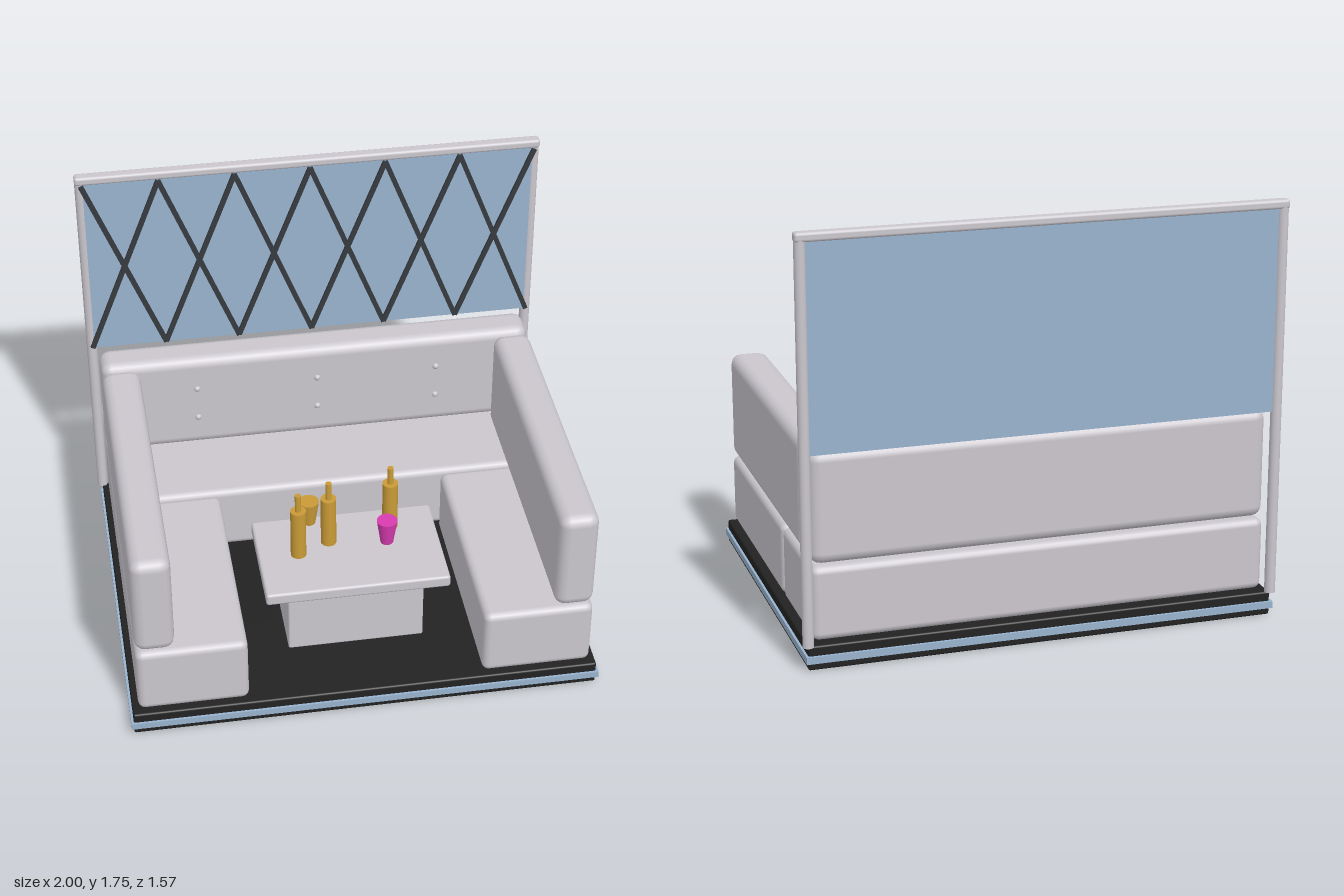
import * as THREE from 'three';
import { RoundedBoxGeometry } from 'three/addons/geometries/RoundedBoxGeometry.js';

const paint = (name, color) => {
  const m = new THREE.MeshStandardMaterial({ color });
  m.name = name;
  return m;
};

export function createModel() {
  const model = new THREE.Group();
  model.name = 'loungeBooth';

  const upholstery = paint('pale grey', 0xcac6cd);
  const floorBlack = paint('floor black', 0x222222);
  const blue = paint('blue', 0x98b3ce);
  const latticeDark = paint('lattice charcoal', 0x363b3f);
  const gold = paint('gold', 0xc99b37);
  const magenta = paint('magenta', 0xd83bb0);

  const add = (name, geometry, material, x, y, z, parent = model) => {
    const mesh = new THREE.Mesh(geometry, material);
    mesh.name = name;
    mesh.position.set(x, y, z);
    parent.add(mesh);
    return mesh;
  };

  // Box given by its min and max on each axis; radius > 0 rounds its edges
  const block = (name, material, [x0, x1], [y0, y1], [z0, z1], radius = 0, segments = 2) => {
    const size = [x1 - x0, y1 - y0, z1 - z0];
    const geometry = radius
      ? new RoundedBoxGeometry(...size, segments, radius)
      : new THREE.BoxGeometry(...size);
    return add(name, geometry, material, (x0 + x1) / 2, (y0 + y1) / 2, (z0 + z1) / 2);
  };

  // Platform with a light strip around its edge
  block('platform', floorBlack, [-0.975, 0.975], [0, 0.1], [-0.765, 0.777], 0.008);
  block('platformStrip', blue, [-0.985, 0.985], [0.031, 0.06], [-0.777, 0.787]);

  // Rear bench
  block('backSeat', upholstery, [-0.95, 0.95], [0.105, 0.41], [-0.737, -0.227], 0.03);
  block('backCushion', upholstery, [-0.95, 0.95], [0.418, 0.88], [-0.737, -0.575], 0.045);

  // Side benches
  for (const [side, s] of [['left', 1], ['right', -1]]) {
    const span = (a, b) => [a * s, b * s].sort((p, q) => p - q);
    block(side + 'Seat', upholstery, span(0.49, 0.95), [0.105, 0.41], [-0.215, 0.757], 0.03);
    block(side + 'Cushion', upholstery, span(0.785, 0.95), [0.418, 0.88], [-0.565, 0.757], 0.045);
  }

  // Buttons on the rear cushion
  const buttonGeometry = new THREE.SphereGeometry(0.015, 12, 8);
  for (const x of [-0.535, 0, 0.535]) {
    for (const y of [0.57, 0.725]) add('cushionButton', buttonGeometry, upholstery, x, y, -0.578);
  }

  // Screen: posts, top rail and panel
  for (const s of [-1, 1]) {
    add(s > 0 ? 'leftPost' : 'rightPost',
      new THREE.CylinderGeometry(0.0225, 0.0225, 1.63, 20), upholstery, s * 0.975, 0.915, -0.763);
  }
  block('topRail', upholstery, [-0.998, 0.998], [1.712, 1.75], [-0.786, -0.736], 0.012);
  block('screenPanel', blue, [-0.965, 0.965], [0.88, 1.715], [-0.772, -0.742]);

  // Crossed lattice bars in front of the panel
  const lattice = new THREE.Group();
  lattice.name = 'lattice';
  model.add(lattice);
  const cells = 6, cellWidth = 1.944 / cells, cellHeight = 0.825;
  const barGeometry = new THREE.BoxGeometry(0.021, Math.hypot(cellWidth, cellHeight), 0.014);
  for (let i = 0; i < cells; i++) {
    for (const s of [-1, 1]) {
      const bar = add('latticeBar', barGeometry, latticeDark,
        (i - (cells - 1) / 2) * cellWidth, 1.2975, -0.736 + s * 0.001, lattice);
      bar.rotation.z = s * Math.atan2(cellWidth, cellHeight);
    }
  }

  // Table
  block('tableTop', upholstery, [-0.387, 0.387], [0.415, 0.47], [0.065, 0.55], 0.012);
  block('tableBase', upholstery, [-0.288, 0.288], [0.1, 0.42], [0.135, 0.48], 0.008);

  // Bottles
  const bodyGeometry = new THREE.CylinderGeometry(0.033, 0.033, 0.235, 20);
  const neckGeometry = new THREE.CylinderGeometry(0.013, 0.013, 0.085, 16);
  for (const [x, z] of [[-0.217, 0.305], [-0.08, 0.245], [0.193, 0.185]]) {
    const bottle = new THREE.Group();
    bottle.name = 'bottle';
    bottle.position.set(x, 0, z);
    model.add(bottle);
    add('bottleBody', bodyGeometry, gold, 0, 0.587, 0, bottle);
    add('bottleNeck', neckGeometry, gold, 0, 0.743, 0, bottle);
  }

  // Tapered cups
  const cupGeometry = new THREE.CylinderGeometry(0.043, 0.027, 0.112, 20);
  add('goldCup', cupGeometry, gold, -0.157, 0.611, 0.205);
  add('magentaCup', cupGeometry, magenta, 0.145, 0.611, 0.38);

  return model;
}
